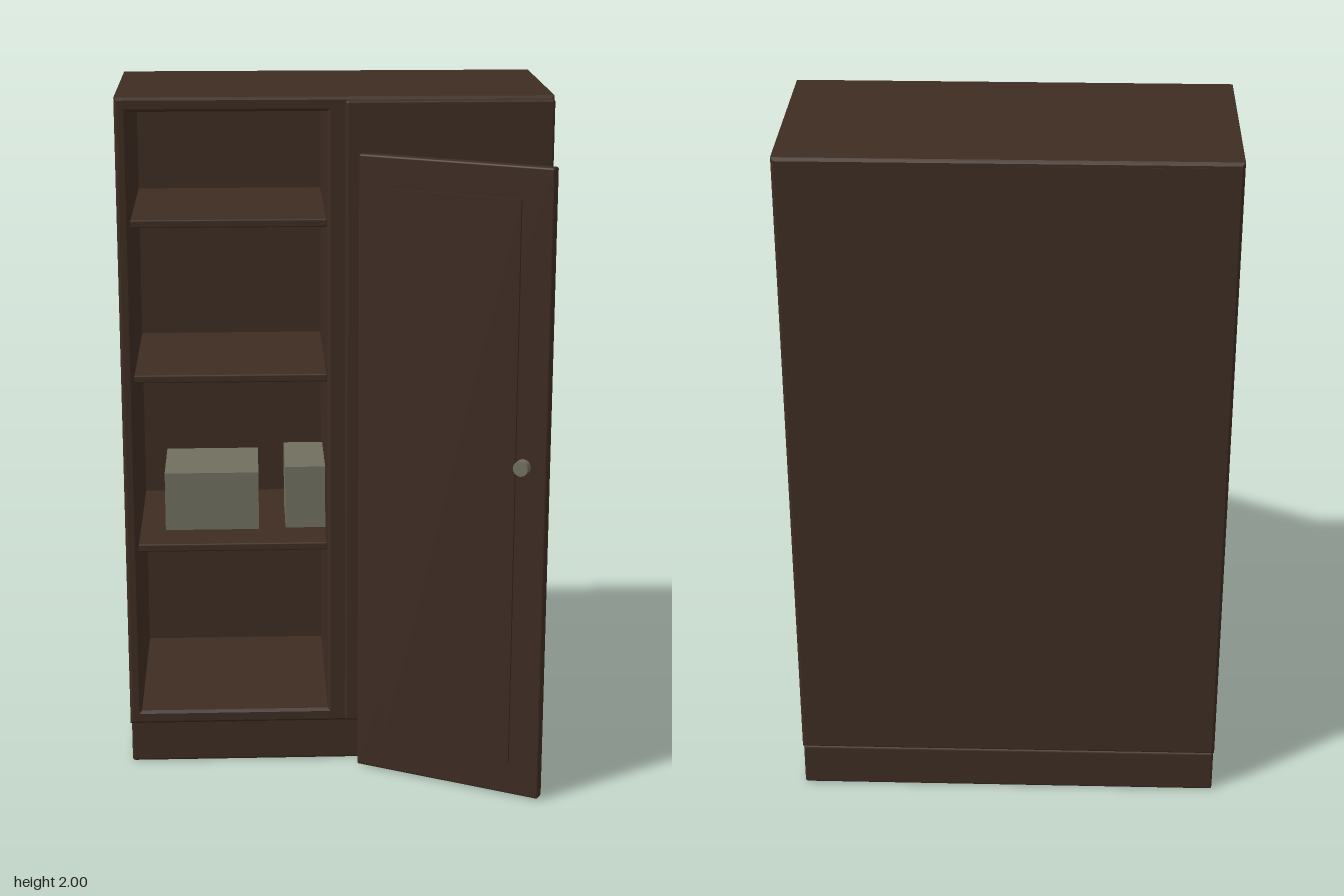
import * as THREE from 'three';
import { RoundedBoxGeometry } from 'three/addons/geometries/RoundedBoxGeometry.js';

export function createModel() {
  const group = new THREE.Group();
  const wood = new THREE.MeshStandardMaterial({ color: 0x3d2c22 });
  wood.name = 'dark wood';
  const grey = new THREE.MeshStandardMaterial({ color: 0x706e5e });
  grey.name = 'grey green';

  const add = (name, geometry, material, parent = group) => {
    const mesh = new THREE.Mesh(geometry, material);
    mesh.name = name;
    parent.add(mesh);
    return mesh;
  };
  // Box given by its limits; a radius softens its edges
  const box = (name, [x0, x1], [y0, y1], [z0, z1], r = 0, material = wood, parent = group) => {
    const size = [x1 - x0, y1 - y0, z1 - z0];
    const geometry = r ? new RoundedBoxGeometry(...size, 2, r) : new THREE.BoxGeometry(...size);
    geometry.translate((x0 + x1) / 2, (y0 + y1) / 2, (z0 + z1) / 2);
    return add(name, geometry, material, parent);
  };
  const trace = (path, x0, x1, y0, y1) => {
    path.moveTo(x0, y0).lineTo(x1, y0).lineTo(x1, y1).lineTo(x0, y1).closePath();
    return path;
  };

  // Carcass with the open shelf bay
  const outline = trace(new THREE.Shape(), -0.61, 0.61, 0.135, 2);
  outline.holes.push(trace(new THREE.Path(), -0.575, -0.02, 0.175, 1.96));
  const bevel = 0.008;
  const carcass = new THREE.ExtrudeGeometry(outline, {
    depth: 0.608 - 2 * bevel, bevelThickness: bevel, bevelSize: bevel,
    bevelOffset: -bevel, bevelSegments: 1,
  });
  carcass.translate(0, 0, -0.449 + bevel);
  add('carcass', carcass, wood);
  box('backPanel', [-0.6, 0.0], [0.15, 1.985], [-0.45, -0.43]);
  box('plinth', [-0.608, 0.608], [0, 0.132], [-0.44, 0.125], 0.008);
  box('fixedFrontPanel', [0.03, 0.61], [0.145, 1.992], [0.15, 0.18], 0.008);

  // Shelves
  for (const y of [0.677, 1.192, 1.646])
    box('shelf', [-0.577, -0.018], [y - 0.024, y], [-0.435, 0.09], 0.005);

  // Storage boxes on the low shelf
  box('storageBox', [-0.5, -0.22], [0.677, 0.855], [-0.3, -0.04], 0, grey);
  box('storageBox', [-0.14, -0.01], [0.677, 0.868], [-0.31, -0.05], 0, grey);

  // Door standing ajar, built from its hinge edge
  const door = new THREE.Group();
  door.name = 'door';
  door.position.set(0.065, 0, 0.183);
  door.rotation.y = -0.48;
  group.add(door);
  box('doorLeaf', [0, 0.575], [0.005, 1.845], [-0.034, 0], 0.006, wood, door);
  box('raisedPanel', [0.09, 0.485], [0.1, 1.755], [-0.01, 0.008], 0, wood, door);
  const knob = new THREE.CylinderGeometry(0.022, 0.022, 0.026, 16);
  knob.rotateX(Math.PI / 2).translate(0.507, 1.005, 0.013);
  add('knob', knob, grey, door);

  return group;
}
